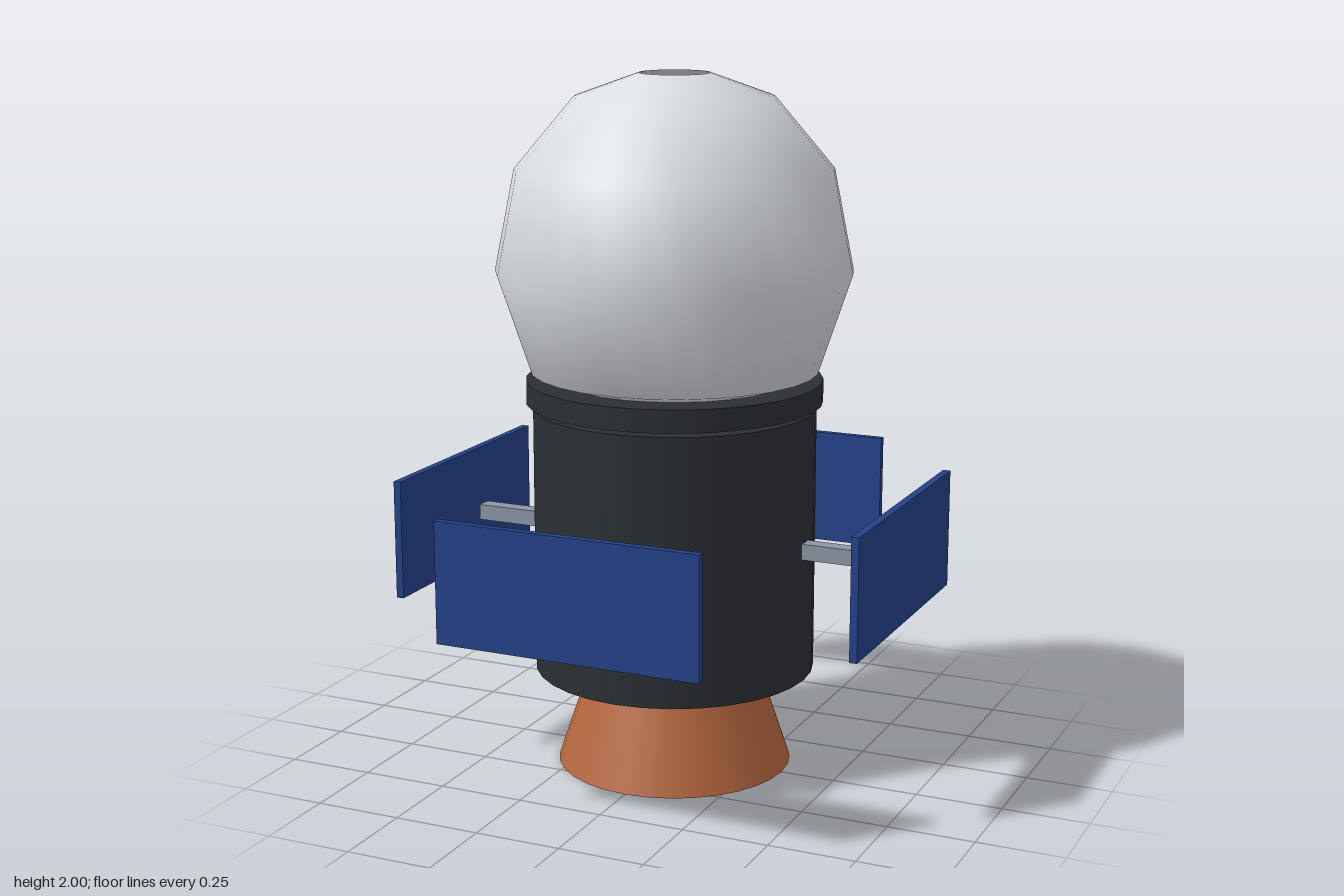
import * as THREE from 'three';

const mat = (color, side = THREE.FrontSide) => new THREE.MeshStandardMaterial({ color, side });

export function createModel() {
  const model = new THREE.Group();
  const dark = mat(0x2b2f33);
  const copper = mat(0xb5673f);
  const blue = mat(0x24428a);
  const steel = mat(0x8c96a3);
  const shell = mat(0xd9dde2, THREE.DoubleSide);

  const add = (name, geometry, material, x, y, z) => {
    const mesh = new THREE.Mesh(geometry, material);
    mesh.name = name;
    mesh.position.set(x, y, z);
    model.add(mesh);
    return mesh;
  };

  // Engine nozzle, flaring down to the ground
  add('nozzle', new THREE.CylinderGeometry(0.24, 0.34, 0.3, 32), copper, 0, 0.15, 0);

  // Cylindrical service body and the separate collar floating just above it
  add('body', new THREE.CylinderGeometry(0.405, 0.405, 0.77, 32), dark, 0, 0.675, 0);
  add('collar', new THREE.CylinderGeometry(0.423, 0.423, 0.065, 32), dark, 0, 1.1075, 0);

  // Bulbous crew shell, open at the top
  const profile = [
    [0.3, 1.13], [0.41, 1.165], [0.505, 1.45], [0.448, 1.735], [0.28, 1.935], [0.1, 2.0],
  ].map(([r, y]) => new THREE.Vector2(r, y));
  add('crewShell', new THREE.LatheGeometry(profile, 28), shell, 0, 0, 0);

  // Four solar panels facing outward, each with a strut; the struts all lie along x
  const panelGeometry = new THREE.BoxGeometry(0.775, 0.345, 0.022);
  const strutGeometry = new THREE.BoxGeometry(0.245, 0.046, 0.046);
  ['front', 'left', 'back', 'right'].forEach((side, i) => {
    const angle = (i * Math.PI) / 2;
    const dx = Math.sin(angle);
    const dz = Math.cos(angle);
    add(side + 'SolarPanel', panelGeometry, blue, dx * 0.692, 0.677, dz * 0.692).rotation.y = angle;
    add(side + 'Strut', strutGeometry, steel, dx * 0.507, 0.677, dz * 0.507);
  });

  return model;
}
